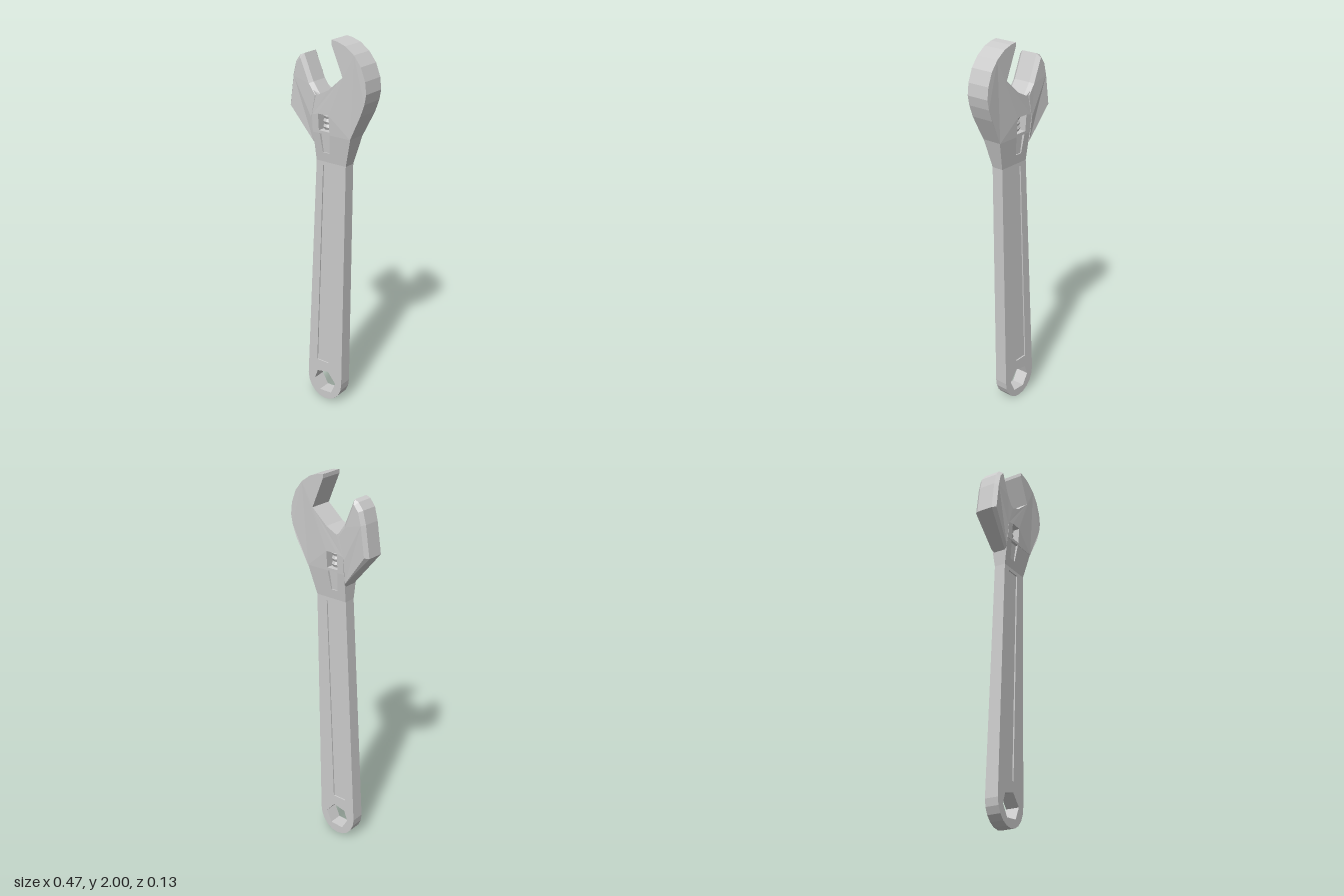
import * as THREE from 'three';

const material = new THREE.MeshStandardMaterial({ color: 0xcccccc, flatShading: true });
const points = list => list.map(([x, y]) => new THREE.Vector2(x, y));

// Extrudes an outline about z = 0, then sets the half thickness as a function of height
function plate(name, outline, halfDepth, { holes = [], bevel = 0, bevelDepth = 0 } = {}) {
  const shape = new THREE.Shape(points(outline));
  for (const hole of holes) shape.holes.push(new THREE.Path(points(hole)));
  const depth = 2 - 2 * bevelDepth;
  const geometry = new THREE.ExtrudeGeometry(shape, {
    depth, bevelEnabled: bevel > 0, bevelSize: bevel, bevelOffset: -bevel,
    bevelThickness: bevelDepth, bevelSegments: 1, curveSegments: 1,
  });
  geometry.translate(0, 0, -depth / 2);
  const p = geometry.attributes.position;
  for (let i = 0; i < p.count; i++) p.setZ(i, p.getZ(i) * halfDepth(p.getY(i)));
  geometry.computeVertexNormals();
  const mesh = new THREE.Mesh(geometry, material);
  mesh.name = name;
  return mesh;
}

// Straight blend between two heights, constant outside them
const ramp = (y0, z0, y1, z1) => y =>
  THREE.MathUtils.lerp(z0, z1, THREE.MathUtils.clamp((y - y0) / (y1 - y0), 0, 1));

export function createModel() {
  const wrench = new THREE.Group();
  wrench.name = 'adjustableWrench';

  // Tapered handle with a round end, hanging hole and shallow groove
  const handleDepth = ramp(0, 0.036, 1.38, 0.031);
  const handleOutline = [[0.095, 1.38], [-0.085, 1.38]];
  for (let i = 0; i <= 10; i++) {
    const a = Math.PI * (1 + i / 10);
    handleOutline.push([-0.037 + 0.112 * Math.cos(a), 0.125 + 0.125 * Math.sin(a)]);
  }
  const hexHole = [[-0.085, 0.16], [-0.015, 0.175], [0.035, 0.115],
    [0.005, 0.05], [-0.07, 0.045], [-0.105, 0.105]];
  const groove = [[-0.088, 0.23], [-0.012, 0.23], [0.035, 1.36], [-0.045, 1.36]];
  wrench.add(plate('handle', handleOutline, handleDepth, { holes: [hexHole, groove] }));

  // Groove floor, set just below both handle faces
  const floor = [[-0.096, 0.22], [-0.004, 0.22], [0.042, 1.37], [-0.052, 1.37]];
  wrench.add(plate('grooveFloor', floor, y => handleDepth(y) - 0.007));

  // Neck that thickens towards the head, with a notch below the screw
  const neck = [[-0.085, 1.38], [0.095, 1.38], [0.135, 1.53], [0.012, 1.53],
    [0.0, 1.43], [-0.04, 1.43], [-0.05, 1.53], [-0.09, 1.53]];
  wrench.add(plate('neck', neck, ramp(1.38, 0.031, 1.53, 0.051)));
  const notch = [[-0.05, 1.41], [0.01, 1.41], [0.022, 1.53], [-0.06, 1.53]];
  wrench.add(plate('neckNotchFloor', notch, ramp(1.41, 0.03, 1.53, 0.038)));

  // Head with the fixed hook jaw and the screw window
  const head = [[-0.09, 1.53], [0.135, 1.53], [0.165, 1.59], [0.2, 1.66], [0.222, 1.72],
    [0.232, 1.77], [0.225, 1.83], [0.2, 1.895], [0.16, 1.945], [0.11, 1.98],
    [0.065, 1.995], [0.03, 2.0], [0.03, 1.98], [0.095, 1.83], [0.01, 1.755],
    [-0.05, 1.725], [-0.09, 1.75], [-0.09, 1.62]];
  const screwWindow = [[-0.052, 1.545], [0.012, 1.545], [0.012, 1.63], [-0.052, 1.63]];
  wrench.add(plate('fixedJaw', head, ramp(1.53, 0.053, 1.64, 0.061), { holes: [screwWindow] }));

  // Sliding jaw with chamfered edges
  const jaw = [[-0.145, 1.91], [-0.168, 1.9], [-0.195, 1.865], [-0.212, 1.8],
    [-0.235, 1.64], [-0.085, 1.46], [-0.078, 1.6], [-0.05, 1.725], [-0.09, 1.78]];
  wrench.add(plate('slidingJaw', jaw, ramp(1.46, 0.045, 1.64, 0.064),
    { bevel: 0.016, bevelDepth: 0.3 }));

  // Adjusting screw: a ridged barrel inside the window
  const profile = [[0, -0.042]];
  for (let i = 0; i <= 6; i++) profile.push([i % 2 ? 0.038 : 0.031, -0.042 + i * 0.014]);
  profile.push([0, 0.042]);
  const screw = new THREE.Mesh(new THREE.LatheGeometry(points(profile), 10), material);
  screw.name = 'adjustingScrew';
  screw.position.set(-0.02, 1.588, 0);
  wrench.add(screw);

  return wrench;
}
